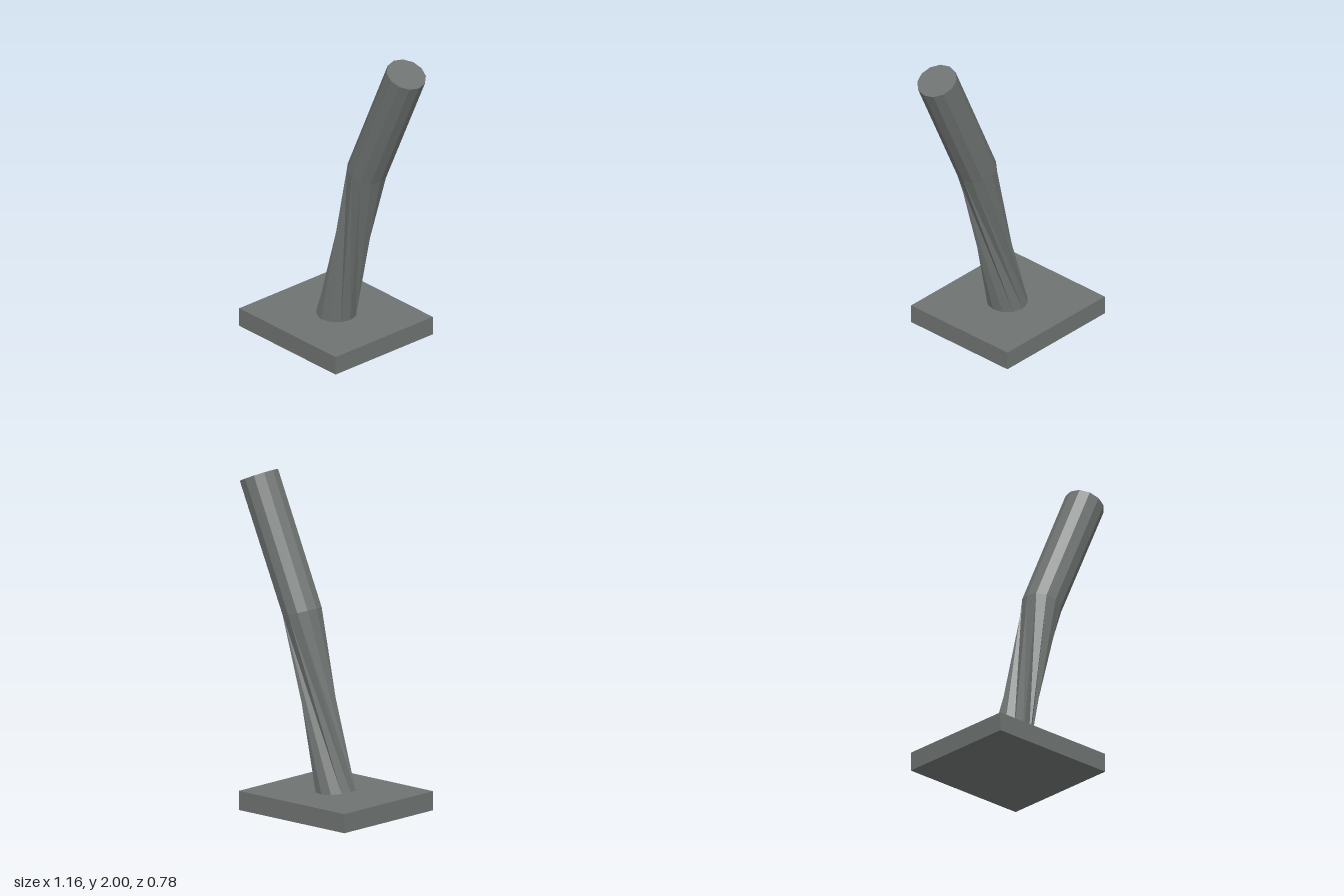
import * as THREE from 'three';

const SIDES = 12;
const RADIUS = 0.123;

// Ring of points around (cx, cy, 0), tilted so its +x side is offset by (rx, ry)
function ring(cx, cy, rx, ry) {
  return Array.from({ length: SIDES }, (_, i) => {
    const a = (i / SIDES) * Math.PI * 2;
    return [cx + rx * Math.cos(a), cy + ry * Math.cos(a), RADIUS * Math.sin(a)];
  });
}

// Skin between two rings; twist shifts the upper ring by whole sides
function bridge(out, low, high, twist) {
  for (let i = 0; i < SIDES; i++) {
    const n = (i + 1) % SIDES;
    const j = (i + twist) % SIDES;
    const k = (j + 1) % SIDES;
    out.push(...low[i], ...high[j], ...low[n], ...low[n], ...high[j], ...high[k]);
  }
}

// Flat end of a ring
function cap(out, points, centre, up) {
  for (let i = 0; i < SIDES; i++) {
    const n = (i + 1) % SIDES;
    out.push(...centre, ...points[up ? n : i], ...points[up ? i : n]);
  }
}

function addPart(group, name, positions, material) {
  const geometry = new THREE.BufferGeometry();
  geometry.setAttribute('position', new THREE.Float32BufferAttribute(positions, 3));
  geometry.computeVertexNormals();
  const mesh = new THREE.Mesh(geometry, material);
  mesh.name = name;
  group.add(mesh);
}

export function createModel() {
  const group = new THREE.Group();
  group.name = 'bentLever';
  const grey = new THREE.MeshStandardMaterial({ color: 0x6e7371, flatShading: true });
  grey.name = 'darkGrey';

  // Base plate
  const base = new THREE.Mesh(new THREE.BoxGeometry(0.855, 0.117, 0.78), grey);
  base.name = 'basePlate';
  base.position.set(-0.157, 0.0585, 0);
  group.add(base);

  const foot = ring(-0.153, 0.115, 0.122, -0.013);
  const bend = ring(0.117, 1.173, 0.117, -0.035);
  const tip = ring(0.467, 1.95, 0.1125, -0.05);

  // Twisted lower shaft with a narrow waist
  const lower = [];
  bridge(lower, foot, bend, 3);
  cap(lower, foot, [-0.153, 0.115, 0], false);
  addPart(group, 'twistedShaft', lower, grey);

  // Straight upper handle
  const upper = [];
  bridge(upper, bend, tip, 0);
  cap(upper, tip, [0.467, 1.95, 0], true);
  addPart(group, 'handle', upper, grey);

  return group;
}
